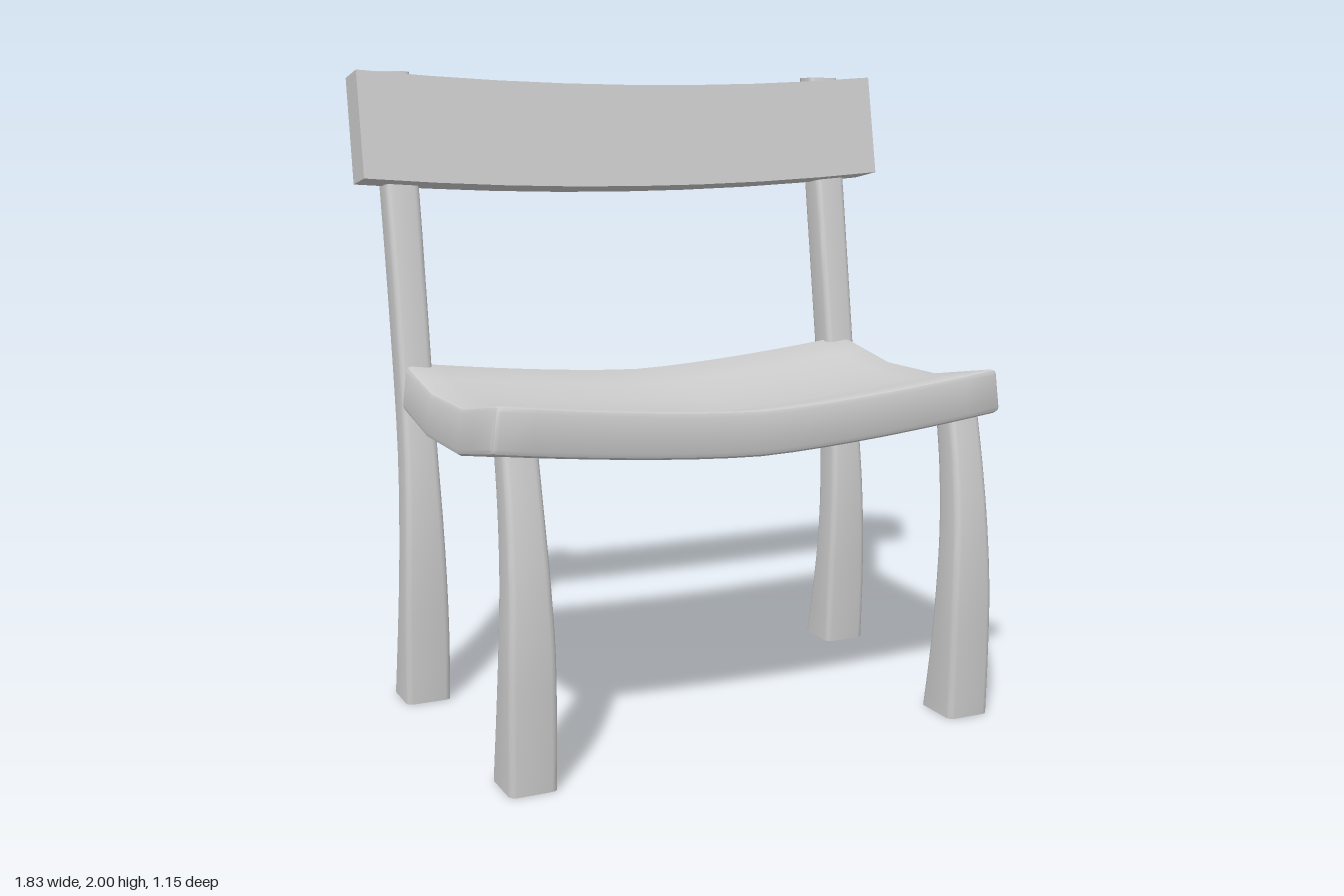
import * as THREE from 'three';
import { toCreasedNormals } from 'three/addons/utils/BufferGeometryUtils.js';

const wood = new THREE.MeshStandardMaterial({ color: 0xcccccc });
wood.name = 'pale grey';

function addPart(parent, name, geometry, crease) {
  const mesh = new THREE.Mesh(toCreasedNormals(geometry, crease), wood);
  mesh.name = name;
  parent.add(mesh);
  return mesh;
}

// Leg lofted through rounded rectangles; sections are [y, xInner, xOuter, zBack, zFront]
function legGeometry(sections, side, radius) {
  const lowX = side > 0 ? 1 : 2;
  const highX = 3 - lowX;
  const back = new THREE.CatmullRomCurve3(
    sections.map((s) => new THREE.Vector3(s[lowX] * side, s[0], s[3])), false, 'catmullrom');
  const front = new THREE.CatmullRomCurve3(
    sections.map((s) => new THREE.Vector3(s[highX] * side, s[0], s[4])), false, 'catmullrom');
  const steps = 20, arc = 3, n = 4 * (arc + 1);
  const positions = [], index = [];
  for (let i = 0; i <= steps; i++) {
    const a = back.getPoint(i / steps), b = front.getPoint(i / steps);
    for (let c = 0; c < 4; c++) {
      const cx = c === 0 || c === 3 ? b.x - radius : a.x + radius;
      const cz = c < 2 ? b.z - radius : a.z + radius;
      for (let k = 0; k <= arc; k++) {
        const t = (c + k / arc) * Math.PI / 2;
        positions.push(cx + radius * Math.cos(t), a.y, cz + radius * Math.sin(t));
      }
    }
  }
  for (let i = 0; i < steps; i++) {
    for (let k = 0; k < n; k++) {
      const p = i * n + k, q = i * n + (k + 1) % n;
      index.push(p, p + n, q, q, p + n, q + n);
    }
  }
  const top = steps * n;
  for (let k = 1; k < n - 1; k++) {
    index.push(0, k, k + 1, top, top + k + 1, top + k);
  }
  const geometry = new THREE.BufferGeometry();
  geometry.setAttribute('position', new THREE.Float32BufferAttribute(positions, 3));
  geometry.setIndex(index);
  return geometry;
}

// Slab with softened edges, dished along both its width and its depth
function seatGeometry() {
  const r = 0.016;
  const half = [0.815, 0.068, 0.465];
  const count = [18, 3, 8];
  const geometry = new THREE.BoxGeometry(2, 2, 2, ...count);
  const pos = geometry.attributes.position;
  const p = new THREE.Vector3(), core = new THREE.Vector3();
  for (let i = 0; i < pos.count; i++) {
    p.fromBufferAttribute(pos, i);
    for (let a = 0; a < 3; a++) {
      const u = p.getComponent(a), h = half[a];
      const edge = Math.abs(u) > 0.999;
      const v = edge ? Math.sign(u) * h : u / (1 - 2 / count[a]) * (h - r);
      p.setComponent(a, v);
      core.setComponent(a, THREE.MathUtils.clamp(v, r - h, h - r));
    }
    p.sub(core).setLength(r).add(core);
    const w = Math.abs(p.x) / half[0];
    const rise = 0.07 * Math.pow(w, 1.5) + 0.175 * Math.max(0, Math.abs(p.z) - 0.15);
    const splay = -p.y * 0.13 * Math.sqrt(w) * Math.sign(p.x);
    pos.setXYZ(i, p.x + splay, p.y + 0.903 + rise, p.z + 0.083);
  }
  return geometry;
}

// Leaning board, sagging towards the middle
function backrestGeometry() {
  const geometry = new THREE.BoxGeometry(1.825, 1, 1, 8, 1, 1);
  const pos = geometry.attributes.position;
  for (let i = 0; i < pos.count; i++) {
    const x = pos.getX(i), up = pos.getY(i) + 0.5, rear = 0.5 - pos.getZ(i);
    const sag = 0.036 * (1 - (x / 0.9125) ** 2);
    pos.setXYZ(i, x, 1.671 + 0.329 * up - 0.022 * rear - sag, -0.34 - 0.06 * up - 0.133 * rear);
  }
  return geometry;
}

export function createModel() {
  const chair = new THREE.Group();
  chair.name = 'chair';

  const frontLeg = [
    [0, 0.65, 0.793, 0.407, 0.57],
    [0.2, 0.65, 0.793, 0.44, 0.575],
    [0.4, 0.652, 0.79, 0.46, 0.577],
    [0.6, 0.66, 0.783, 0.459, 0.566],
    [0.8, 0.667, 0.778, 0.437, 0.537],
    [1.0, 0.67, 0.775, 0.4, 0.495],
  ];
  const backLeg = [
    [0, 0.7, 0.846, -0.434, -0.273],
    [0.2, 0.7, 0.846, -0.392, -0.265],
    [0.4, 0.705, 0.842, -0.37, -0.26],
    [0.6, 0.712, 0.835, -0.374, -0.265],
    [0.8, 0.718, 0.828, -0.395, -0.285],
    [1.0, 0.719, 0.825, -0.426, -0.316],
    [1.2, 0.719, 0.825, -0.457, -0.346],
    [1.4, 0.719, 0.826, -0.487, -0.378],
    [1.6, 0.719, 0.828, -0.518, -0.412],
    [1.8, 0.721, 0.831, -0.548, -0.45],
    [2.0, 0.723, 0.835, -0.577, -0.487],
  ];

  // Seat and legs sit a hair off the backrest's centre
  const base = new THREE.Group();
  base.name = 'seatAndLegs';
  base.position.x = 0.006;
  chair.add(base);
  addPart(base, 'seat', seatGeometry(), 0.5);
  for (const side of [1, -1]) {
    const label = side > 0 ? 'left' : 'right';
    addPart(base, label + 'FrontLeg', legGeometry(frontLeg, side, 0.02), 0.8);
    addPart(base, label + 'BackLeg', legGeometry(backLeg, side, 0.02), 0.8);
  }

  addPart(chair, 'backrest', backrestGeometry(), 0.5);
  return chair;
}
